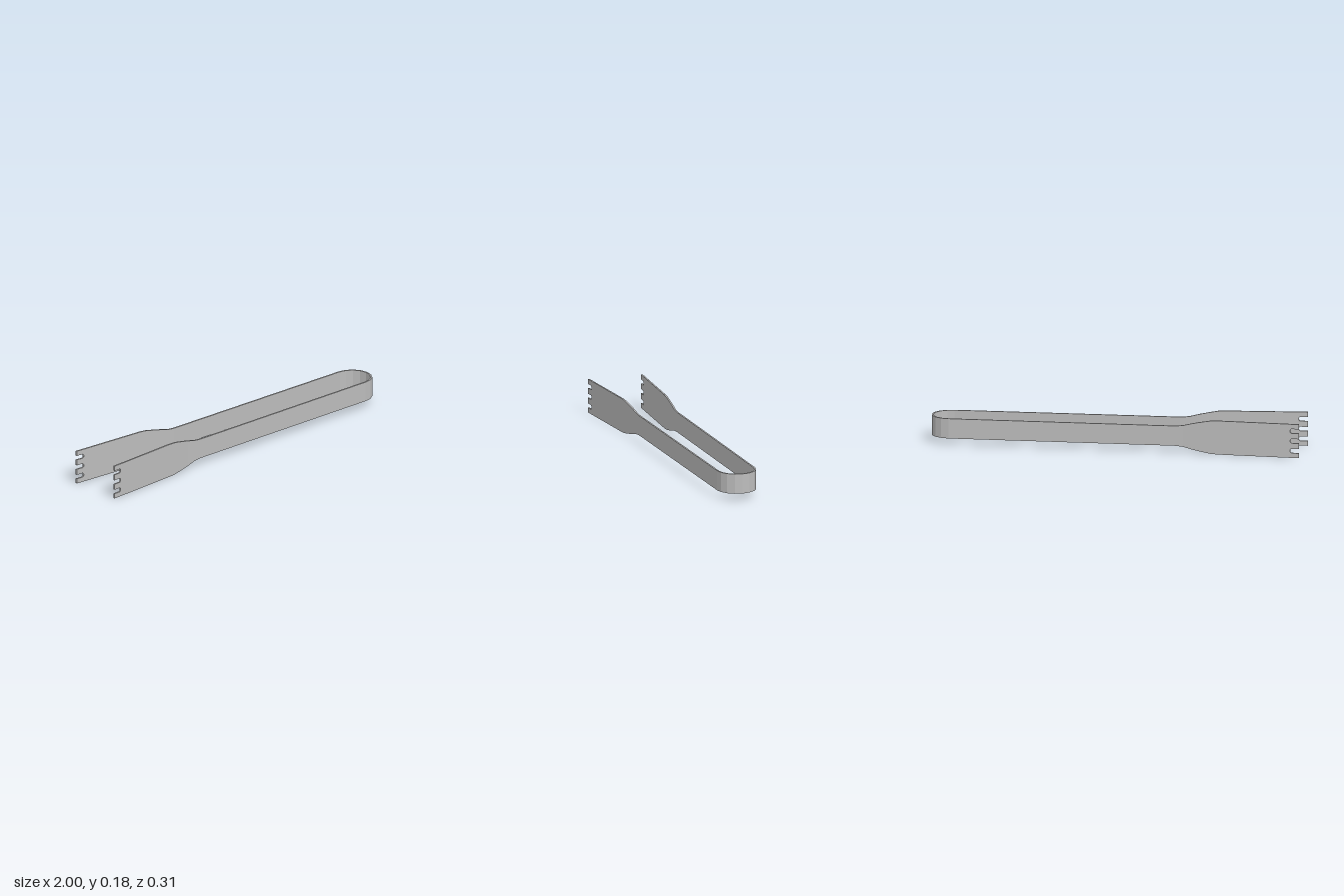
import * as THREE from 'three';

const THICK = 0.009;
const MID = 0.092;              // mid height of the strip
const TOOTH_X = -0.952;         // root of the teeth
const BEND = { x: 0.893, z: -0.047, r: 0.107 };

// Piecewise linear lookup in [x, value] points
function lookup(points, x) {
  for (let i = 1; i < points.length; i++) {
    const [x0, v0] = points[i - 1], [x1, v1] = points[i];
    if (x <= x1) return v0 + (v1 - v0) * (x - x0) / (x1 - x0);
  }
  return points[points.length - 1][1];
}

// Outer face of each arm (z along x) and half height of the strip
const frontZ = [[-1, 0.154], [-0.42, 0.099], [-0.37, 0.0945], [-0.32, 0.092], [0.893, 0.06]];
const backZ = [[-1, -0.154], [-0.42, -0.132], [-0.37, -0.1305], [-0.32, -0.1305], [0.893, -0.154]];
const halfHeight = [[-1, 0.092], [-0.56, 0.092], [-0.52, 0.09], [-0.47, 0.081], [-0.42, 0.071],
  [-0.37, 0.0585], [-0.33, 0.054], [0.893, 0.054]];
const stations = [TOOTH_X, -0.56, -0.52, -0.47, -0.42, -0.37, -0.345, -0.32, 0.893];

// One cross-section: outer and inner edge, bottom and top
function section(x, z, nx, nz, y0, y1) {
  const ix = x - nx * THICK, iz = z - nz * THICK;
  return [[x, y0, z], [x, y1, z], [ix, y1, iz], [ix, y0, iz]];
}

function armSection(side, x, y0, y1) {
  return section(x, lookup(side > 0 ? frontZ : backZ, x), 0, side, y0, y1);
}

// Closed strip through a row of cross-sections
function ribbon(sections, material, name) {
  const pos = [];
  const quad = (a, b, c, d) => [a, b, c, a, c, d].forEach((p) => pos.push(...p));
  for (let i = 0; i < sections.length - 1; i++) {
    const a = sections[i], b = sections[i + 1];
    for (let k = 0; k < 4; k++) quad(a[k], b[k], b[(k + 1) % 4], a[(k + 1) % 4]);
  }
  const first = sections[0], last = sections[sections.length - 1];
  quad(...first);
  quad(last[3], last[2], last[1], last[0]);
  const geometry = new THREE.BufferGeometry();
  geometry.setAttribute('position', new THREE.Float32BufferAttribute(pos, 3));
  geometry.computeVertexNormals();
  const mesh = new THREE.Mesh(geometry, material);
  mesh.name = name;
  return mesh;
}

export function createModel() {
  const group = new THREE.Group();
  group.name = 'tongs';
  const steel = new THREE.MeshStandardMaterial({ color: 0xbcbcbc });
  steel.name = 'steel grey';

  // Both arms, from the tooth root to the bend
  for (const side of [1, -1]) {
    const row = stations.map((x) => {
      const h = lookup(halfHeight, x);
      return armSection(side, x, MID - h, MID + h);
    });
    if (side < 0) row.reverse();
    group.add(ribbon(row, steel, side > 0 ? 'frontArm' : 'backArm'));
  }

  // Spring bend joining the arms
  const bend = [];
  for (let i = 0; i <= 8; i++) {
    const a = Math.PI * i / 8, nx = Math.sin(a), nz = Math.cos(a);
    bend.push(section(BEND.x + BEND.r * nx, BEND.z + BEND.r * nz, nx, nz, MID - 0.054, MID + 0.054));
  }
  group.add(ribbon(bend, steel, 'springBend'));

  // Four teeth on each tip, widening at the root to round the slots
  const slots = [0.038, 0.092, 0.146], half = 0.0115;
  for (const side of [1, -1]) {
    for (let t = 0; t < 4; t++) {
      const row = [[-1, 0], [-0.958, 0], [TOOTH_X, 0.006]].map(([x, extra]) => armSection(side, x,
        t === 0 ? 0 : slots[t - 1] + half - extra,
        t === 3 ? 0.184 : slots[t] - half + extra));
      if (side < 0) row.reverse();
      group.add(ribbon(row, steel, side > 0 ? 'frontTooth' : 'backTooth'));
    }
  }
  return group;
}
